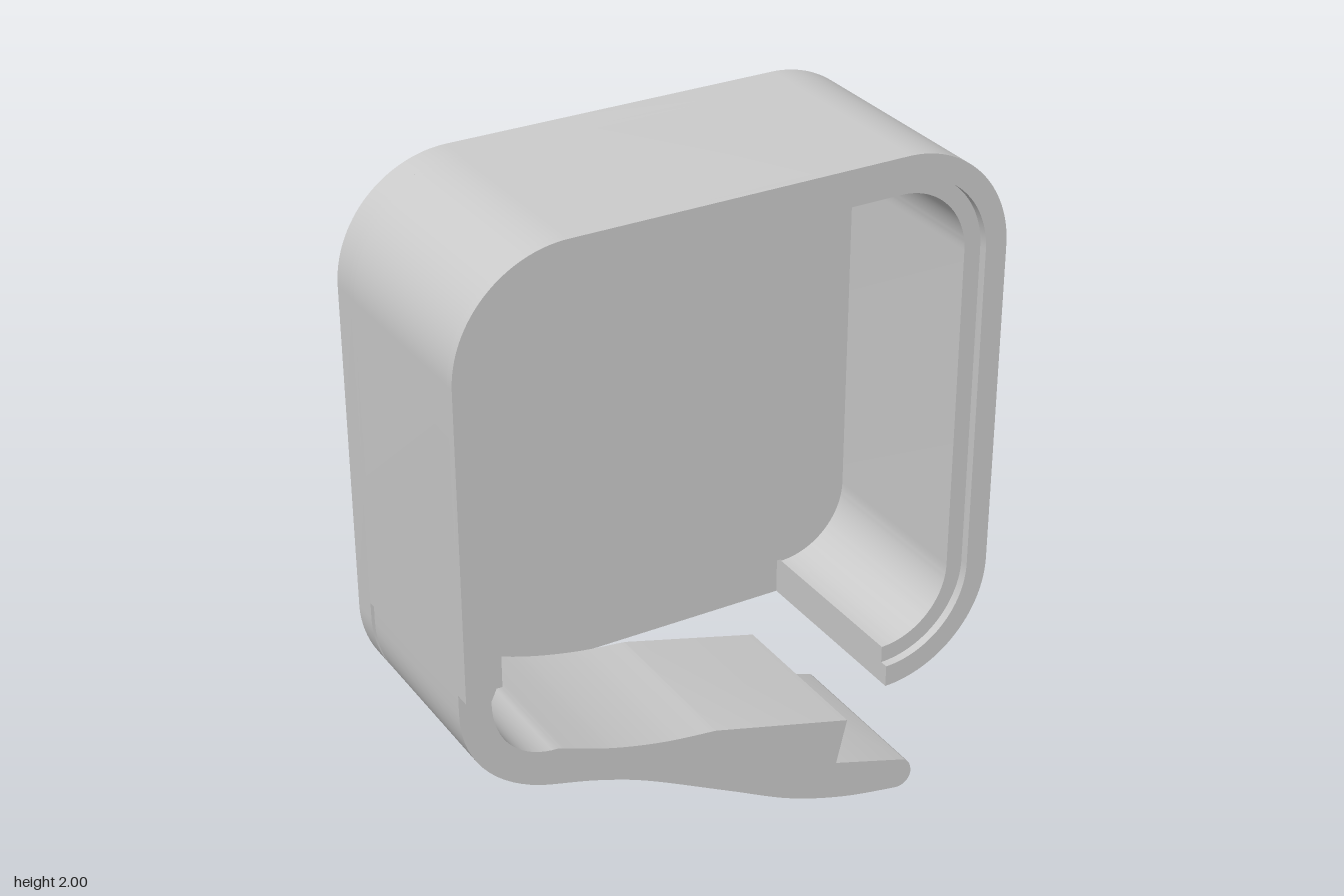
import * as THREE from 'three';
import { toCreasedNormals } from 'three/addons/utils/BufferGeometryUtils.js';

const X = 0.8, TOP = 2, BOTTOM = 0.41, R = 0.32;
const WALL = 0.115, BAND = 0.065, HINGE_Y = 0.79;
const CX = X - R; // corner centre; the bottom wall ends here

const material = new THREE.MeshStandardMaterial({ color: 0xcccccc });

function slab(name, shape, z0, z1) {
  let g = new THREE.ExtrudeGeometry(shape, { depth: z1 - z0, bevelEnabled: false, curveSegments: 16 });
  g = toCreasedNormals(g.translate(0, 0, z0), 0.5);
  const mesh = new THREE.Mesh(g, material);
  mesh.name = name;
  return mesh;
}

// Rounded outline inset by d: from the bottom right, up, over the top, down the left to endY
function outline(d, endY) {
  const s = new THREE.Shape(), r = R - d;
  s.moveTo(CX, BOTTOM + d);
  s.absarc(CX, BOTTOM + R, r, -Math.PI / 2, 0, false);
  s.absarc(CX, TOP - R, r, 0, Math.PI / 2, false);
  s.absarc(-CX, TOP - R, r, Math.PI / 2, Math.PI, false);
  s.lineTo(-X + d, endY);
  return s;
}

// Open wall ring of the given thickness
function ring(t) {
  const outer = outline(0, HINGE_Y).getPoints(16);
  const inner = outline(t, HINGE_Y).getPoints(16).reverse();
  return new THREE.Shape([...outer, ...inner]);
}

function armShape() {
  const s = new THREE.Shape();
  s.moveTo(-X, HINGE_Y);
  s.lineTo(-X, BOTTOM + R);
  // outer corner and the sweeping underside
  s.bezierCurveTo(-X, 0.56, -0.68, 0.45, -0.52, 0.415);
  s.splineThru([[-0.4, 0.382], [-0.25, 0.325], [0, 0.2], [0.2, 0.1], [0.38, 0.04], [0.56, 0.005]]
    .map(p => new THREE.Vector2(...p)));
  // rounded finger tip
  s.bezierCurveTo(0.6, 0, 0.615, 0.03, 0.613, 0.05);
  s.quadraticCurveTo(0.61, 0.08, 0.59, 0.093);
  // latch hook
  s.lineTo(0.355, 0.165);
  s.lineTo(0.387, 0.3);
  s.lineTo(-0.04, 0.415);
  // inner face back to the hinge
  s.splineThru([[-0.2, 0.435], [-0.36, 0.472], [-0.52, 0.528]].map(p => new THREE.Vector2(...p)));
  s.bezierCurveTo(-0.62, 0.53, -0.71, 0.6, -0.708, 0.74);
  s.lineTo(-X + WALL, HINGE_Y);
  return s;
}

export function createModel() {
  const model = new THREE.Group();
  model.name = 'latchedCase';

  // Closed back
  const full = outline(0, BOTTOM + R);
  full.absarc(-CX, BOTTOM + R, R, Math.PI, Math.PI * 1.5, false);
  model.add(slab('backPlate', full, -0.325, -0.247));

  // Raised floor, cut away to leave clearance behind the arm
  const floor = outline(0, 0.777);
  floor.lineTo(0.09, BOTTOM + 0.12);
  floor.lineTo(CX, BOTTOM + 0.12);
  model.add(slab('raisedFloor', floor, -0.247, -0.225));

  // Side wall and the thinner band that forms the front rim
  model.add(slab('sideWall', ring(WALL), -0.225, 0.3));
  model.add(slab('frontRim', ring(BAND), 0.3, 0.325));

  // Flexible arm with its hook and finger tab
  model.add(slab('latchArm', armShape(), -0.225, 0.28));
  return model;
}
